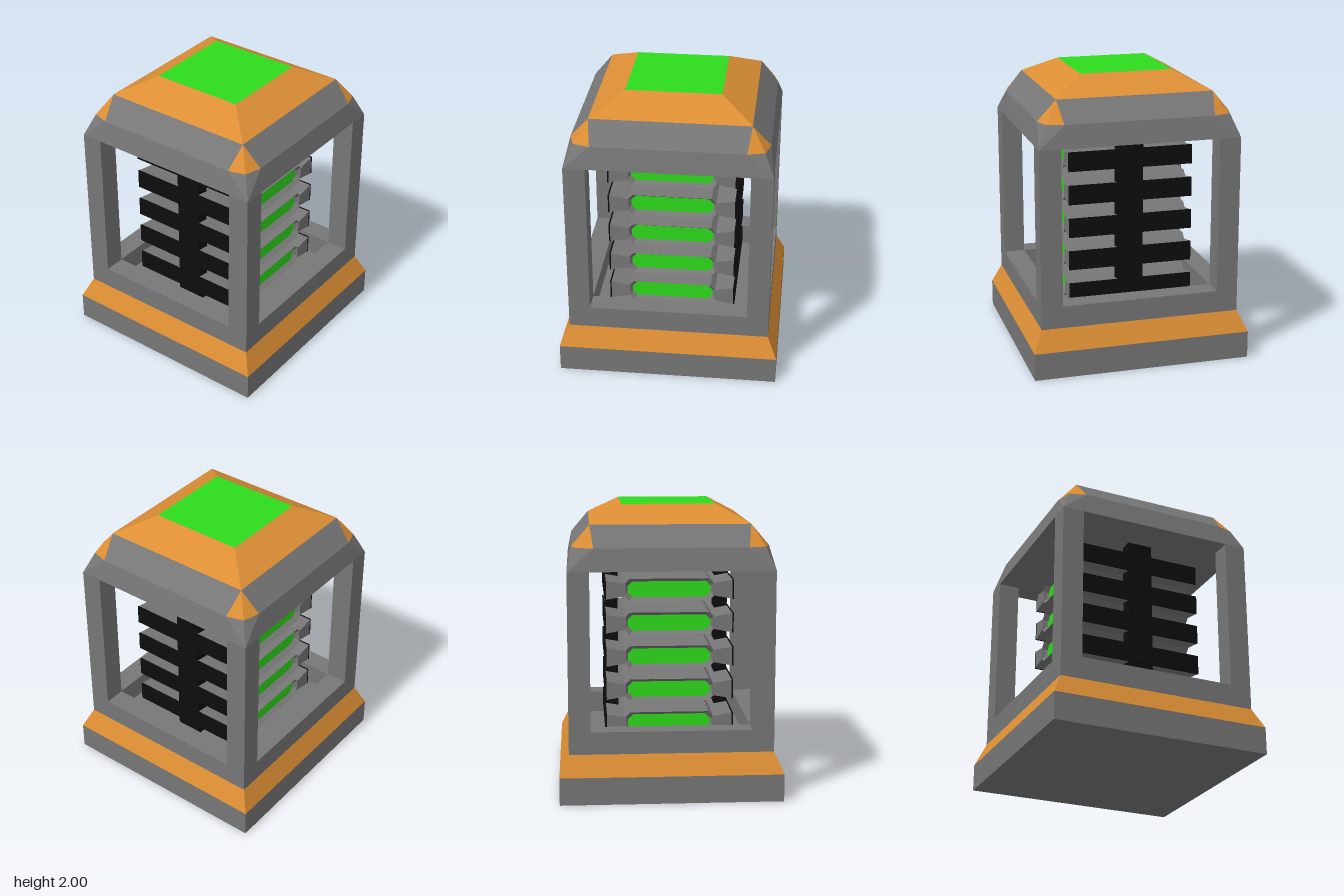
import * as THREE from 'three';

const mat = (color) => new THREE.MeshStandardMaterial({ color, flatShading: true });

// Flat polygons (counter-clockwise from outside), each cut into a fan
function polygons(list) {
  const pos = [];
  for (const p of list)
    for (let i = 1; i < p.length - 1; i++) pos.push(...p[0], ...p[i], ...p[i + 1]);
  const g = new THREE.BufferGeometry();
  g.setAttribute('position', new THREE.Float32BufferAttribute(pos, 3));
  g.computeVertexNormals();
  return g;
}

// Repeats polygons on the four sides by quarter turns about y
function fourSides(list) {
  const out = [];
  for (let k = 0; k < 4; k++) {
    const c = [1, 0, -1, 0][k], s = [0, 1, 0, -1][k];
    for (const p of list) out.push(p.map(([x, y, z]) => [c * x + s * z, y, c * z - s * x]));
  }
  return polygons(out);
}

// Bands joining two matching loops
const band = (a, b) => a.map((p, i) => {
  const j = (i + 1) % a.length;
  return [p, a[j], b[j], b[i]];
});

export function createModel() {
  const group = new THREE.Group();
  const grey = mat(0x777777), orange = mat(0xdc8e34), green = mat(0x2edb1c), black = mat(0x0d0d0d);

  const add = (name, geo, material, x = 0, y = 0, z = 0, parent = group) => {
    const m = new THREE.Mesh(geo, material);
    m.name = name;
    m.position.set(x, y, z);
    parent.add(m);
    return m;
  };
  const box = (w, h, d) => new THREE.BoxGeometry(w, h, d);

  // Base, sloped trim and recessed floor
  add('base', box(1.53, 0.19, 1.53), grey, 0, 0.095, 0);
  const r2 = Math.SQRT2;
  add('baseTrim', new THREE.CylinderGeometry(0.7 * r2, 0.765 * r2, 0.145, 4, 1, true, Math.PI / 4), orange, 0, 0.2625, 0);
  add('floor', box(1.4, 0.035, 1.4), grey, 0, 0.3175, 0);

  // Sill ring around the floor
  const square = (P, s) => new P([[-s, -s], [s, -s], [s, s], [-s, s]].map(([x, y]) => new THREE.Vector2(x, y)));
  const ring = square(THREE.Shape, 0.7);
  ring.holes.push(square(THREE.Path, 0.55));
  const sill = new THREE.ExtrudeGeometry(ring, { depth: 0.155, bevelEnabled: false }).rotateX(-Math.PI / 2);
  add('sill', sill, grey, 0, 0.335, 0);

  // Corner posts
  for (const x of [-0.625, 0.625])
    for (const z of [-0.625, 0.625]) add('cornerPost', box(0.15, 1.09, 0.15), grey, x, 1.035, z);

  // Cap: lower skirt, cut corners, sloped roof and lit top
  const y0 = 1.58, y1 = 1.735, y2 = 1.88;
  const low = [0.7, y0, 0.7], lowL = [-0.7, y0, 0.7];
  const mid = [0.52, y1, 0.67], midL = [-0.52, y1, 0.67];
  const corner = [0.635, y1, 0.635], midSide = [0.67, y1, 0.52];
  const top = [0.545, y2, 0.545], topL = [-0.545, y2, 0.545];
  add('capSides', fourSides([
    [lowL, low, mid, midL],
    [midL, mid, top, topL],
    [low, corner, mid],
    [low, midSide, corner],
    [[0, y0, 0], low, lowL],
  ]), grey);
  add('capCorners', fourSides([[mid, corner, top], [corner, midSide, top]]), orange);
  add('roofSlopes', fourSides([[topL, top, [0.325, 2, 0.325], [-0.325, 2, 0.325]]]), orange);
  add('roofPanel', fourSides([[[0, 2, 0], [-0.325, 2, 0.325], [0.325, 2, 0.325]]]), green);

  // Cell: eight-sided body with dished green ends and flared black-faced rails
  const loop = (x, z, y, cut) => [
    [x, -y, z - cut], [x, -y + cut, z], [x, y - cut, z], [x, y, z - cut],
    [x, y, -z + cut], [x, y - cut, -z], [x, -y + cut, -z], [x, -y, -z + cut],
  ].reverse();
  const rimR = loop(0.44, 0.315, 0.077, 0.042), rimL = loop(-0.44, 0.315, 0.077, 0.042);
  const dishR = loop(0.405, 0.286, 0.055, 0.033), dishL = loop(-0.405, 0.286, 0.055, 0.033);
  const bodyGeo = polygons([...band(rimL, rimR), ...band(rimR, dishR), ...band(dishL, rimL)]);
  const lightGeo = polygons([dishR, [...dishL].reverse()]);
  const rail = new THREE.Shape();
  rail.moveTo(0.3, -0.042);
  rail.lineTo(0.435, -0.066);
  rail.lineTo(0.435, 0.066);
  rail.lineTo(0.3, 0.042);
  const railGeo = new THREE.ExtrudeGeometry(rail, { depth: 0.88, bevelEnabled: false })
    .translate(0, 0, -0.44).rotateY(-Math.PI / 2);
  const faceGeo = box(0.88, 0.136, 0.01);

  for (let i = 0; i < 5; i++) {
    const cell = new THREE.Group();
    cell.name = 'cell';
    cell.position.y = 0.485 + i * 0.234;
    group.add(cell);
    add('cellBody', bodyGeo, grey, 0, 0, 0, cell);
    add('cellLights', lightGeo, green, 0, 0, 0, cell);
    for (const s of [1, -1]) {
      add('cellRail', railGeo, grey, 0, 0, 0, cell).rotation.y = s > 0 ? 0 : Math.PI;
      add('railFace', faceGeo, black, 0, 0, s * 0.44, cell);
    }
  }

  // Upright struts holding the cells
  for (const z of [-0.39, 0.39]) add('strut', box(0.18, 1.245, 0.09), black, 0, 0.9575, z);

  return group;
}
